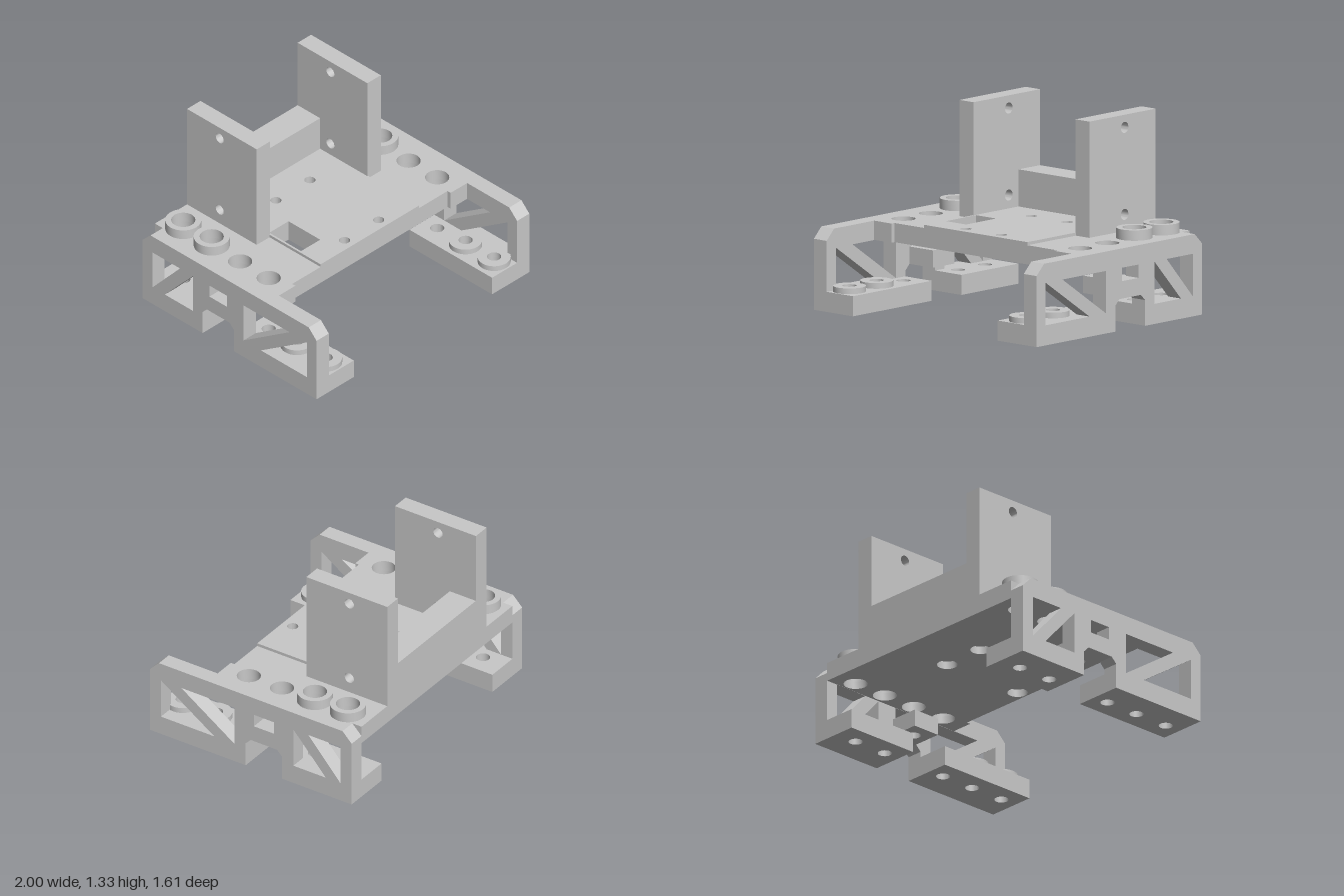
import * as THREE from 'three';
import { toCreasedNormals } from 'three/addons/utils/BufferGeometryUtils.js';

const gray = new THREE.MeshStandardMaterial({ color: 0xc8c8c8 });
gray.name = 'plain gray';

const HOLE = 0.047, BORE = 0.08, SCREW = 0.037, AXIS_X = 0.792, END = 0.806;

const rect = (a0, a1, b0, b1) => [[a0, b0], [a1, b0], [a1, b1], [a0, b1]];
const circle = (a, b, r) => Array.from({ length: 32 }, (_, i) => {
  const t = (i / 32) * Math.PI * 2;
  return [a + r * Math.cos(t), b + r * Math.sin(t)];
});

// Outline runs counter-clockwise so that hole walls face into the holes
function extrude(outline, holes, depth) {
  const points = (list) => list.map(([a, b]) => new THREE.Vector2(a, b));
  const border = points(outline);
  if (THREE.ShapeUtils.isClockWise(border)) border.reverse();
  const shape = new THREE.Shape(border);
  for (const hole of holes) shape.holes.push(new THREE.Path(points(hole)));
  return new THREE.ExtrudeGeometry(shape, { depth, bevelEnabled: false });
}

function mesh(name, geometry) {
  const part = new THREE.Mesh(toCreasedNormals(geometry, 0.6), gray);
  part.name = name;
  return part;
}

// Horizontal part: outline in (x, z), from height y0 to y1
function slab(name, outline, holes, y0, y1) {
  const flip = (list) => list.map(([x, z]) => [x, -z]);
  const geometry = extrude(flip(outline), holes.map(flip), y1 - y0);
  return mesh(name, geometry.rotateX(-Math.PI / 2).translate(0, y0, 0));
}

// Upright part: outline in (z, y), from x0 to x1
function upright(name, outline, holes, x0, x1) {
  const geometry = extrude(outline, holes, x1 - x0);
  return mesh(name, geometry.rotateY(-Math.PI / 2).translate(x1, 0, 0));
}

export function createModel() {
  const model = new THREE.Group();
  model.name = 'mountingBracket';

  // Deck with front tabs, cable opening and screw holes counterbored below
  const deck = [
    [-0.885, -END], [0.885, -END], [0.885, 0.343], [0.73, 0.343], [0.73, 0.314],
    [-0.73, 0.314], [-0.73, 0.343], [-0.885, 0.343],
  ];
  const opening = rect(-0.448, -0.268, -0.176, 0.118);
  const screws = (r) => [-0.16, 0.16].flatMap((x) => [-0.4, 0.237].map((z) => circle(x, z, r)));
  const bores = [-1, 1].flatMap((s) =>
    [-0.635, -0.371, -0.108, 0.157].map((z) => circle(s * AXIS_X, z, BORE)));
  model.add(
    slab('deckLower', deck, [opening, ...bores, ...screws(0.068)], 0.421, 0.475),
    slab('deckUpper', deck, [opening, ...bores, ...screws(SCREW)], 0.475, 0.55),
    slab('raisedPad', rect(-0.463, 0.463, -END, 0.314), [opening, ...screws(SCREW)], 0.55, 0.571),
    slab('rearBeam', rect(-0.457, 0.457, -END, -0.598), [], 0.571, 0.82),
  );

  // Side wall outline with chamfered top corners and an arch below
  const wall = [
    [END, 0], [END, 0.477], [0.733, 0.55], [-0.733, 0.55], [-END, 0.477], [-END, 0],
    [-0.25, 0], [-0.25, 0.173], [-0.21, 0.213], [0, 0.213], [0.04, 0.173], [0.04, 0],
  ];
  // Triangular windows leave diagonal braces
  const windows = [
    [[0.717, 0.42], [0.717, 0.135], [0.29, 0.135]],
    [[0.555, 0.42], [0.13, 0.42], [0.13, 0.135]],
    [[-0.34, 0.42], [-0.34, 0.135], [-0.6, 0.135]],
    [[-0.46, 0.42], [-0.715, 0.42], [-0.715, 0.135]],
    rect(-0.187, -0.025, 0.33, 0.42),
  ];
  const plateHoles = [circle(-0.503, 0.661, SCREW), circle(-0.503, 1.245, SCREW)];

  for (const s of [1, -1]) {
    const side = new THREE.Group();
    side.name = s > 0 ? 'leftSide' : 'rightSide';
    const across = (a, b) => [Math.min(s * a, s * b), Math.max(s * a, s * b)];
    const hole = (z, r = HOLE) => circle(s * AXIS_X, z, r);

    side.add(
      upright('sideWall', wall, windows, ...across(0.885, 1)),
      upright('uprightPlate', rect(-END, -0.16, 0.55, 1.33), plateHoles, ...across(0.457, 0.583)),
      slab('frontFoot', rect(...across(0.65, 0.885), 0.04, END),
        [0.157, 0.42, 0.685].map((z) => hole(z)), 0, 0.135),
      slab('rearFoot', rect(...across(0.65, 0.885), -END, -0.25),
        [-0.635, -0.371].map((z) => hole(z)), 0, 0.135),
      slab('middleShelf', rect(...across(0.675, 0.885), -0.21, 0), [hole(-0.108)], 0.213, 0.33),
    );
    // Raised collars on the deck and on the front foot
    for (const z of [-0.635, -0.371])
      side.add(slab('deckCollar', hole(z, 0.12), [hole(z, BORE)], 0.55, 0.62));
    for (const z of [0.42, 0.685])
      side.add(slab('footCollar', hole(z, 0.11), [hole(z)], 0.135, 0.173));
    model.add(side);
  }
  return model;
}
